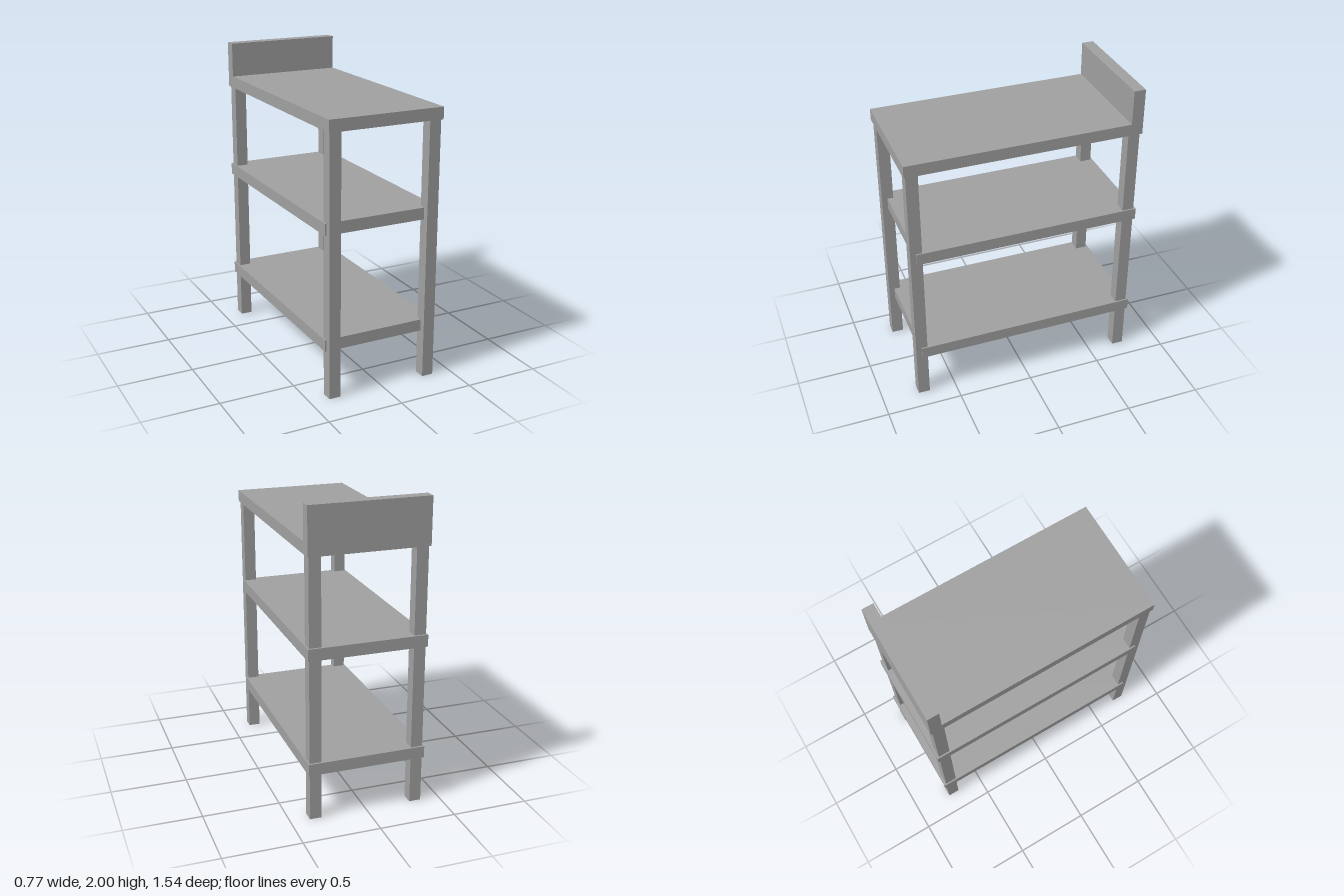
import * as THREE from 'three';

export function createModel() {
  const group = new THREE.Group();
  const material = new THREE.MeshStandardMaterial({ color: 0xa0a0a0 });

  // Box given by its minimum and maximum corners
  function slab(name, [x0, y0, z0], [x1, y1, z1]) {
    const mesh = new THREE.Mesh(new THREE.BoxGeometry(x1 - x0, y1 - y0, z1 - z0), material);
    mesh.position.set((x0 + x1) / 2, (y0 + y1) / 2, (z0 + z1) / 2);
    mesh.name = name;
    group.add(mesh);
  }

  const halfWidth = 0.385, halfDepth = 0.769, thick = 0.077;
  const topY = 1.697;

  // Worktop and the upright board along its back edge
  slab('worktop', [-halfWidth, topY, -halfDepth], [halfWidth, topY + thick, halfDepth]);
  slab('backsplash', [-halfWidth, topY + thick, -halfDepth], [halfWidth, 2, -halfDepth + thick]);

  // Two shelves, set back slightly at the front
  for (const [name, y] of [['lowerShelf', 0.309], ['middleShelf', 1.062]]) {
    slab(name, [-halfWidth, y, -halfDepth], [halfWidth, y + thick, 0.72]);
  }

  // Four square legs
  for (const [side, x] of [['Left', 0.337], ['Right', -0.337]]) {
    for (const [end, z] of [['front', 0.719], ['back', -0.717]]) {
      slab(`${end}${side}Leg`,
        [x - thick / 2, 0, z - thick / 2],
        [x + thick / 2, topY, z + thick / 2]);
    }
  }

  return group;
}
